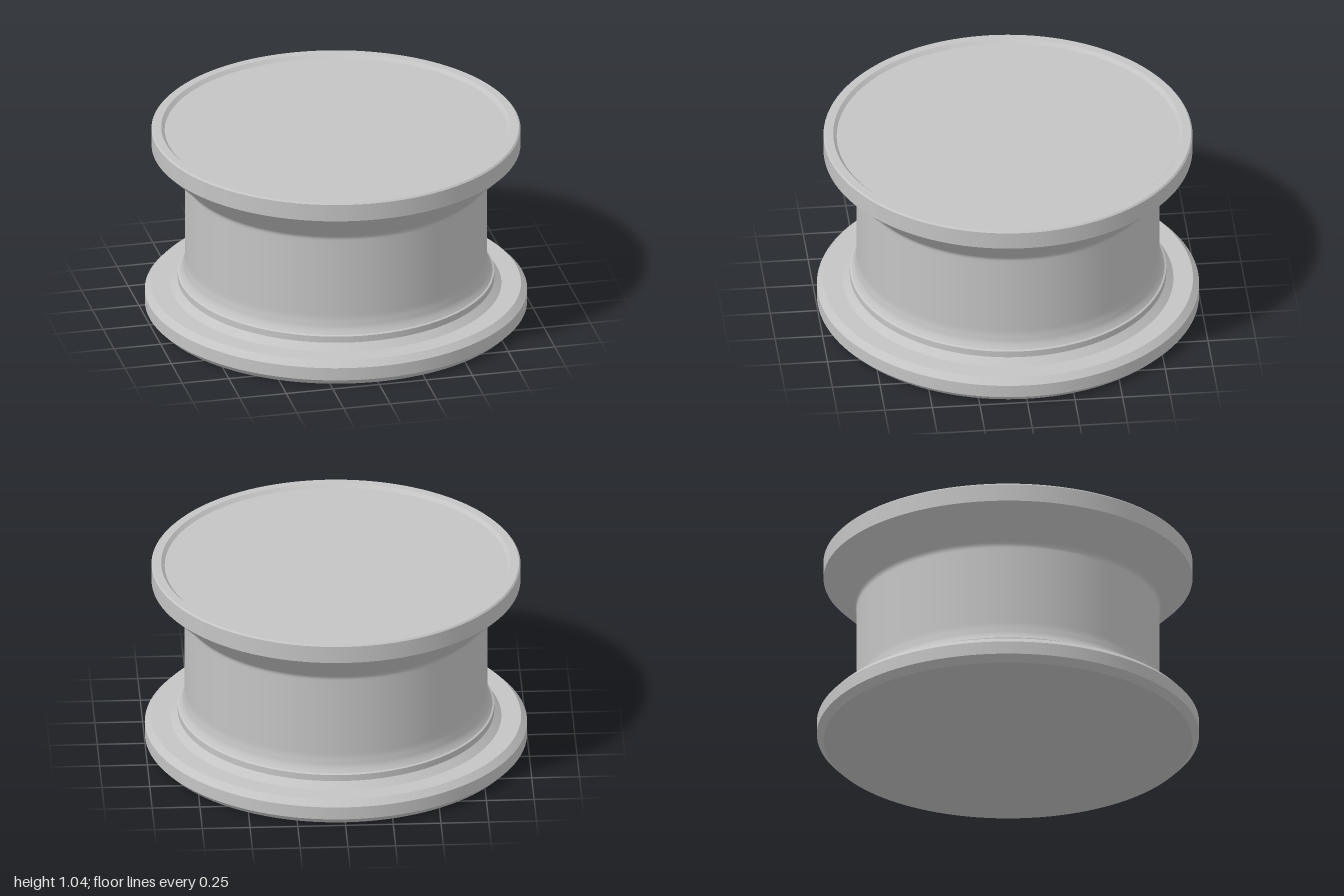
import * as THREE from 'three';

const SEGMENTS = 128;
const grey = new THREE.MeshStandardMaterial({ color: 0xc4c4c4 });
grey.name = 'plain grey';

// One smooth band of revolution; profile runs from the underside outwards and up
function band(points) {
  const profile = points.map(([r, y]) => new THREE.Vector2(r, y));
  return new THREE.Mesh(new THREE.LatheGeometry(profile, SEGMENTS), grey);
}

// A named part made of straight bands, with a sharp edge at each profile point
function sharpPart(name, points) {
  const part = new THREE.Group();
  part.name = name;
  for (let i = 1; i < points.length; i++) part.add(band([points[i - 1], points[i]]));
  return part;
}

// Rounded corner from a to b, bending at corner c
function fillet(a, c, b, steps = 6) {
  const curve = new THREE.QuadraticBezierCurve(
    new THREE.Vector2(...a), new THREE.Vector2(...c), new THREE.Vector2(...b));
  return curve.getPoints(steps).map((p) => [p.x, p.y]);
}

export function createModel() {
  const model = new THREE.Group();
  model.name = 'flangedSpool';

  // Wide chamfered foot with a stepped collar
  model.add(sharpPart('baseFlange', [
    [0, 0], [0.965, 0], [1, 0.035], [1, 0.105], [0.968, 0.138], [0.865, 0.138],
  ]));
  model.add(sharpPart('collar', [
    [0.865, 0.138], [0.828, 0.173], [0.828, 0.208], [0.818, 0.213],
  ]));

  // Drum blending into the collar below and the flared cone above
  const drum = band([
    ...fillet([0.818, 0.213], [0.802, 0.235], [0.798, 0.255], 4),
    ...fillet([0.796, 0.27], [0.792, 0.285], [0.791, 0.305], 3),
    [0.791, 0.32], [0.791, 0.73],
    ...fillet([0.791, 0.745], [0.791, 0.764], [0.806, 0.778]),
    [0.816, 0.788], [0.965, 0.934],
  ]);
  drum.name = 'drum';
  model.add(drum);

  // Upper rim with a shallow recessed top
  model.add(sharpPart('topRim', [
    [0.965, 0.934], [0.965, 1.028], [0.957, 1.036], [0.914, 1.036], [0.896, 1.018],
  ]));
  model.add(sharpPart('recessedTop', [[0.896, 1.018], [0, 1.018]]));

  return model;
}
